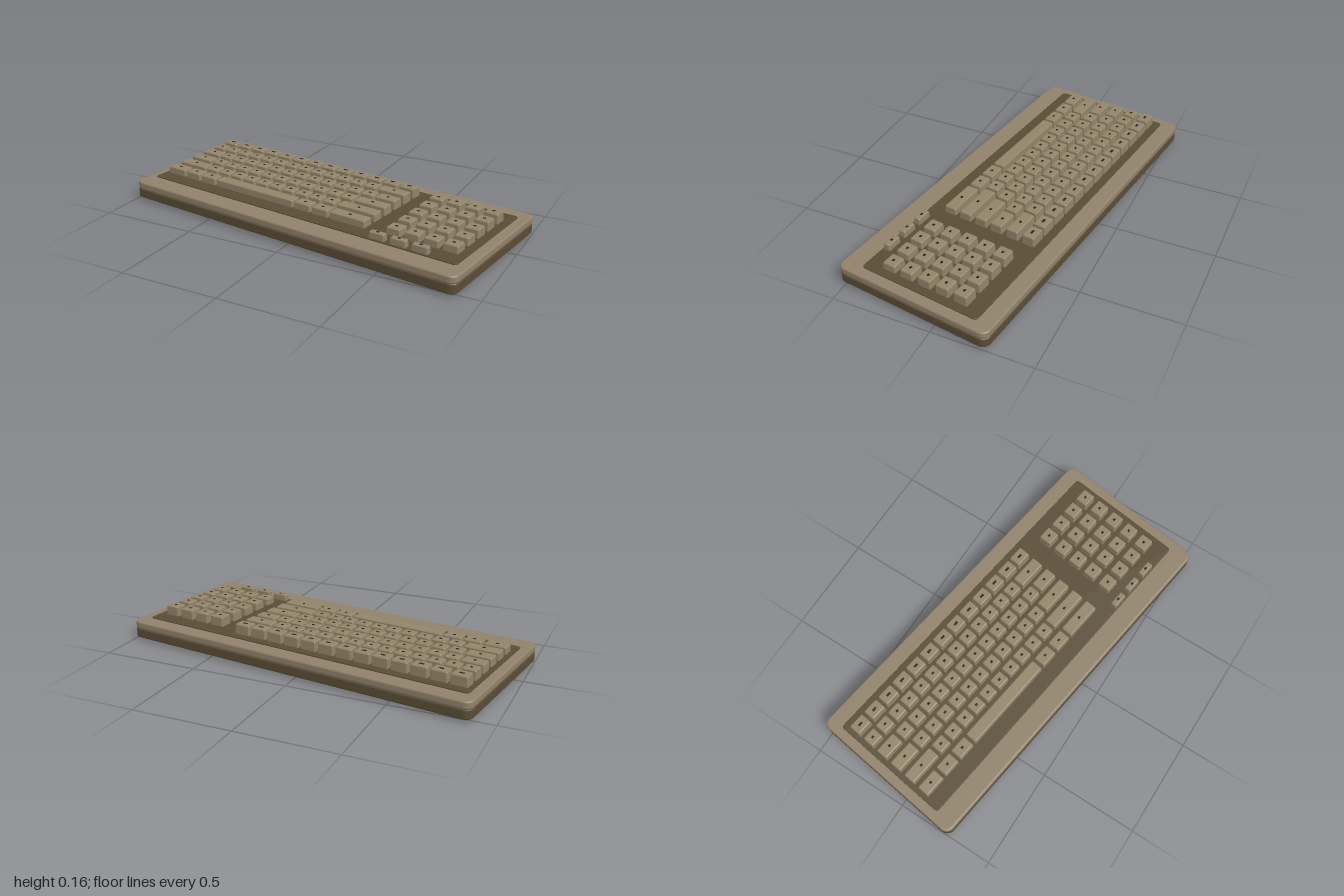
import * as THREE from 'three';
import { RoundedBoxGeometry } from 'three/addons/geometries/RoundedBoxGeometry.js';

const material = (name, color) => {
  const m = new THREE.MeshStandardMaterial({ color });
  m.name = name;
  return m;
};

// Flat slab with rounded corners and a small bevel, from y0 to y1
function slab(w, d, y0, y1, r, bevel) {
  const x = w / 2 - bevel, z = d / 2 - bevel;
  const s = new THREE.Shape();
  s.moveTo(-x + r, -z);
  s.lineTo(x - r, -z);
  s.absarc(x - r, -z + r, r, -Math.PI / 2, 0);
  s.absarc(x - r, z - r, r, 0, Math.PI / 2);
  s.absarc(-x + r, z - r, r, Math.PI / 2, Math.PI);
  s.absarc(-x + r, -z + r, r, Math.PI, Math.PI * 1.5);
  const g = new THREE.ExtrudeGeometry(s, {
    depth: y1 - y0 - 2 * bevel, curveSegments: 6,
    bevelEnabled: bevel > 0, bevelThickness: bevel, bevelSize: bevel, bevelSegments: 3,
  });
  return g.rotateX(-Math.PI / 2).translate(0, y0 + bevel, 0);
}

// Rounded keycap that narrows a little towards its top
function keycap(w, d, h) {
  const g = new RoundedBoxGeometry(w, h, d, 2, 0.007);
  const p = g.attributes.position;
  for (let i = 0; i < p.count; i++) {
    const t = p.getY(i) / h + 0.5;
    p.setX(i, p.getX(i) - Math.sign(p.getX(i)) * 0.003 * t);
    p.setZ(i, p.getZ(i) - Math.sign(p.getZ(i)) * 0.003 * t);
  }
  return g;
}

export function createModel() {
  const shell = material('tan shell', 0x90816a);
  const keyMat = material('keycap tan', 0x928469);
  const dark = material('dark brown', 0x5a4c36);
  const footMat = material('rubber', 0x29260f);
  const markMat = material('key marking', 0x2a2319);

  const model = new THREE.Group();
  model.name = 'keyboard';
  const add = (parent, name, geometry, mat, x = 0, y = 0, z = 0) => {
    const m = new THREE.Mesh(geometry, mat);
    m.name = name;
    m.position.set(x, y, z);
    parent.add(m);
    return m;
  };

  // Two-part case and key bed
  add(model, 'lowerCase', slab(1.915, 0.82, 0.012, 0.061, 0.035, 0.006), dark);
  add(model, 'upperCase', slab(1.915, 0.82, 0.061, 0.0985, 0.033, 0.008), shell);
  add(model, 'keyBed', slab(1.816, 0.633, 0.09, 0.104, 0.015, 0.002), dark, -0.003, 0, -0.012);

  // Four feet
  for (const x of [-0.683, 0.683])
    for (const z of [0.083, -0.28])
      add(model, 'foot', slab(0.16, 0.056, 0, 0.02, 0.022, 0.002), footMat, x, 0, z);

  // Keys rise gently towards the back
  const keyBottom = 0.1;
  const addKey = (parent, x, z, w, d, markWidth) => {
    const top = 0.1475 - 0.0335 * z, h = top - keyBottom;
    add(parent, 'keycap', keycap(w, d, h), keyMat, x, keyBottom + h / 2, z);
    if (markWidth)
      add(parent, 'keyMark', new THREE.BoxGeometry(markWidth, 0.002, 0.011), markMat, x, top, z);
  };

  // Main block: every row is 15 units wide
  const main = new THREE.Group();
  main.name = 'mainKeys';
  model.add(main);
  const ones = (n, w = 1) => Array(n).fill(w);
  const rows = [
    ones(13, 15 / 13),
    [...ones(13), 2],
    [1.5, ...ones(12), 1.5],
    [1.75, ...ones(11), 2.25],
    [2.25, ...ones(10), 2.75],
    [1.5, 1.25, 1.25, 6, 1.25, 1.25, 2.5],
  ];
  const unit = 0.0853, gap = 0.01;
  rows.forEach((row, r) => {
    let x = -0.889;
    for (const units of row) {
      const w = units * unit;
      const mark = units > 5 ? 0 : r === 0 ? 0.024 : 0.014;
      addKey(main, x + (w - gap) / 2, -0.254 + r * 0.0894, w - gap, 0.068, mark);
      x += w;
    }
  });

  // Number pad
  const pad = new THREE.Group();
  pad.name = 'numberPad';
  model.add(pad);
  for (let r = 0; r < 5; r++)
    for (let c = 0; c < 4; c++)
      addKey(pad, 0.528 + c * 0.0993, -0.2146 + r * 0.0986, 0.079, 0.073, 0.014);

  // Short keys in front of the number pad
  const small = new THREE.Group();
  small.name = 'smallKeys';
  model.add(small);
  for (let c = 0; c < 3; c++) addKey(small, 0.49 + c * 0.113, 0.28, 0.086, 0.038, 0.014);

  // The keyboard sits slightly turned
  model.rotation.y = -THREE.MathUtils.degToRad(7.95);
  const root = new THREE.Group();
  root.name = 'model';
  root.add(model);
  return root;
}
